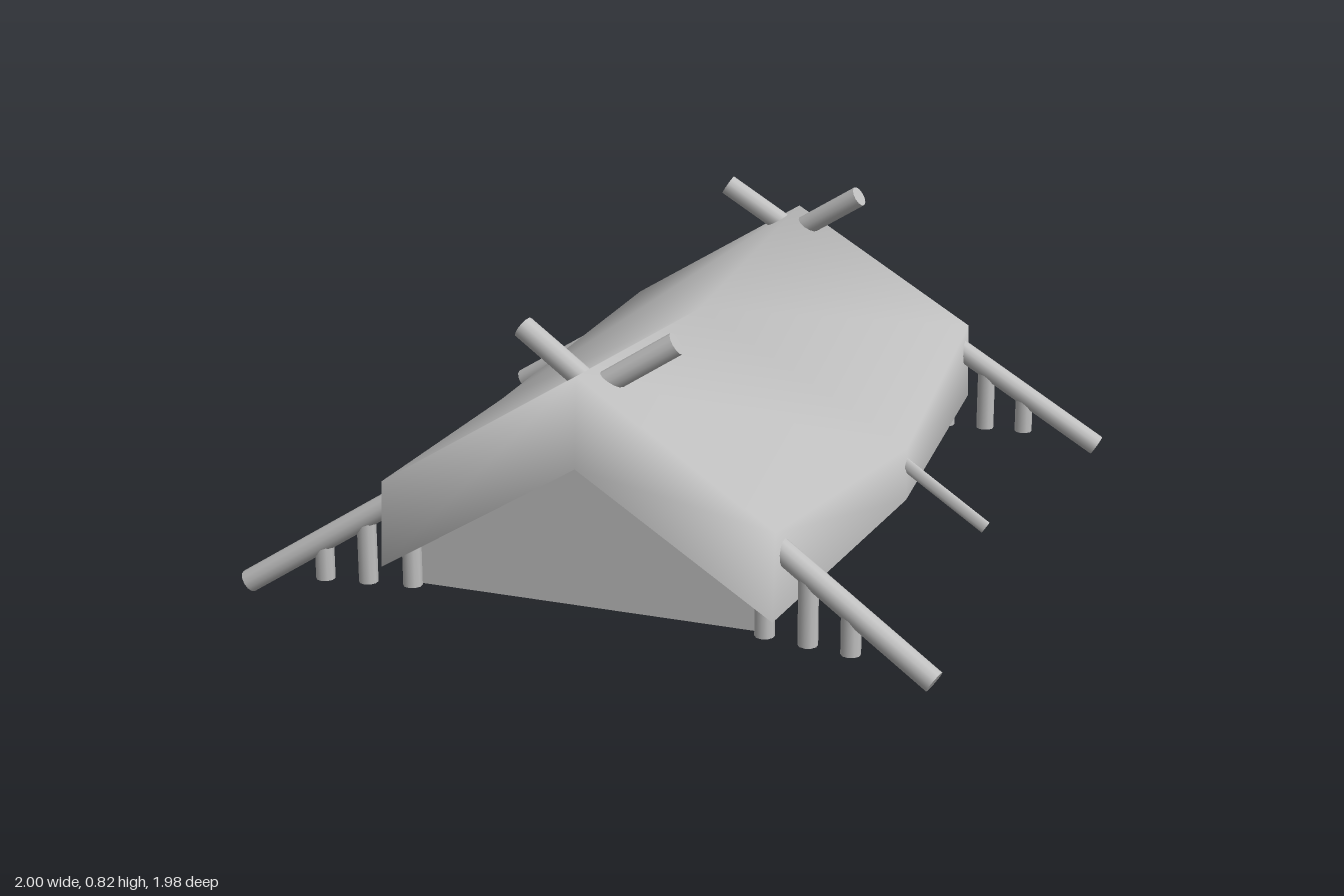
import * as THREE from 'three';

export function createModel() {
  const model = new THREE.Group();
  const grey = new THREE.MeshStandardMaterial({ color: 0xc0c0c0, side: THREE.DoubleSide });
  grey.name = 'plain grey';

  function add(name, geometry, parent = model) {
    const mesh = new THREE.Mesh(geometry, grey);
    mesh.name = name;
    parent.add(mesh);
    return mesh;
  }

  // Straight rod between two points
  function rod(name, from, to, radius, sides, parent) {
    const a = new THREE.Vector3(...from), b = new THREE.Vector3(...to);
    const dir = b.clone().sub(a);
    const mesh = add(name, new THREE.CylinderGeometry(radius, radius, dir.length(), sides), parent);
    mesh.position.copy(a).add(b).multiplyScalar(0.5);
    mesh.quaternion.setFromUnitVectors(new THREE.Vector3(0, 1, 0), dir.normalize());
    return mesh;
  }

  const shelter = new THREE.Group();
  shelter.name = 'shelter';
  shelter.position.x = -0.006;
  model.add(shelter);

  // Roof shell: three cross-sections, sagging at the ridge and bulging at the eaves
  const sections = [
    { half: 0.558, ridge: [0.73, 0.92], eave: [0.38, 0.95], foot: [0.14, 0.97] },
    { half: 0.634, ridge: [0.65, -0.01], eave: [0.3, -0.01], foot: [0.14, -0.01] },
    { half: 0.558, ridge: [0.73, -0.94], eave: [0.38, -0.97], foot: [0.14, -0.99] },
  ];
  const points = [], faces = [];
  for (const { half, ridge, eave, foot } of sections) {
    points.push(-half, ...foot, -half, ...eave, 0, ...ridge, half, ...eave, half, ...foot);
  }
  const quad = (a, b, c, d) => faces.push(a, b, c, a, c, d);
  for (let s = 0; s < 2; s++) {
    for (let j = 0; j < 4; j++) {
      const a = s * 5 + j;
      quad(a, a + 1, a + 6, a + 5);
    }
  }
  // Gable bands hanging at both ends, smooth with the slopes
  points.push(0, 0.48, 0.94, 0, 0.48, -0.962);
  quad(0, 15, 2, 1);
  quad(15, 4, 3, 2);
  quad(11, 12, 16, 10);
  quad(12, 13, 14, 16);
  const roof = new THREE.BufferGeometry();
  roof.setAttribute('position', new THREE.Float32BufferAttribute(points, 3));
  roof.setIndex(faces);
  roof.computeVertexNormals();
  add('roof', roof, shelter);

  // End walls and the middle partition
  function wall(name, z, eave, apex, flip) {
    const shape = new THREE.Shape([
      [-0.51, 0.06], [0.51, 0.06], [0.51, eave], [0, apex], [-0.51, eave],
    ].map(([x, y]) => new THREE.Vector2(x, y)));
    const mesh = add(name, new THREE.ShapeGeometry(shape), shelter);
    mesh.position.z = z;
    if (flip) mesh.rotation.y = Math.PI;
  }
  wall('frontWall', 0.86, 0.36, 0.68, false);
  wall('partition', -0.03, 0.34, 0.62, true);
  wall('backWall', -0.87, 0.36, 0.68, true);

  // Long side walls
  for (const side of [-1, 1]) {
    const mesh = add('sideWall', new THREE.PlaneGeometry(1.73, 0.26), shelter);
    mesh.position.set(side * 0.51, 0.22, -0.005);
    mesh.rotation.y = side * Math.PI / 2;
  }

  // Crossed corner poles, each with a row of short posts beneath
  const ends = [
    { name: 'front', footZ: 0.955, topZ: 0.775 },
    { name: 'back', footZ: -0.955, topZ: -0.855 },
  ];
  for (const { name, footZ, topZ } of ends) {
    for (const side of [-1, 1]) {
      const foot = [side * 0.982, 0.034, footZ], top = [-side * 0.217, 0.8, topZ];
      rod(name + 'Pole', foot, top, 0.032, 12);
      for (const x of [0.508, 0.633, 0.755]) {
        const t = (0.982 - x) / 1.199;
        const z = footZ + (topZ - footZ) * t;
        const y = 0.034 + 0.766 * t;
        rod(name + 'Post', [side * x, 0.062, z], [side * x, y, z], 0.027, 10, shelter);
      }
    }
  }

  // Slim side peg
  rod('sidePeg', [0.56, 0.29, -0.012], [0.865, 0.085, -0.012], 0.02, 4);

  return model;
}
